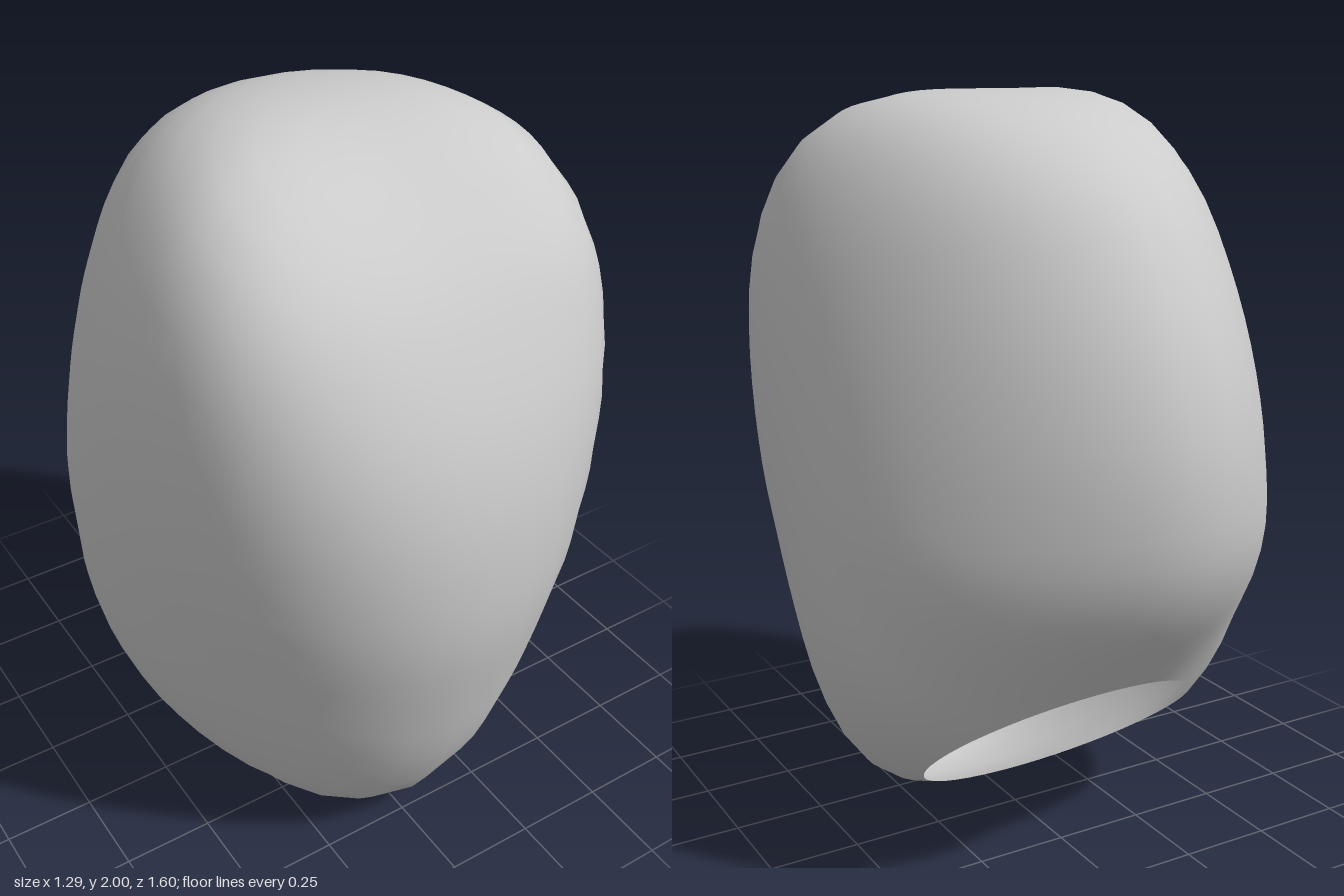
import * as THREE from 'three';

const CY = 1.05, HALF_W = 0.645, SIDE_LEAN = 0.38;

// Side outline as (z, y) pairs, running from the crown over the front, chin, neck and back
const outline = [
  [0, 2], [0.13, 1.995], [0.3, 1.94], [0.43, 1.86], [0.56, 1.74], [0.65, 1.6], [0.73, 1.43],
  [0.78, 1.24], [0.797, 1.06], [0.79, 0.87], [0.74, 0.62], [0.68, 0.4], [0.59, 0.21], [0.49, 0.07],
  [0.39, 0.01], [0.28, 0], [0.13, 0.04], [0.03, 0.09], [-0.26, 0.27], [-0.5, 0.54],
  [-0.6, 0.65], [-0.7, 0.77], [-0.77, 0.91], [-0.797, 1.08], [-0.79, 1.24], [-0.74, 1.43],
  [-0.65, 1.61], [-0.53, 1.77], [-0.37, 1.89], [-0.2, 1.965],
];

// Outline radius for every angle around the centre
function makeRadiusLookup() {
  const curve = new THREE.CatmullRomCurve3(
    outline.map(([z, y]) => new THREE.Vector3(z, y - CY, 0)), true);
  const polar = curve.getPoints(400).slice(0, 400)
    .map(p => [Math.atan2(p.y, p.x), Math.hypot(p.x, p.y)])
    .sort((a, b) => a[0] - b[0]);
  const first = polar[0], last = polar[polar.length - 1];
  polar.unshift([last[0] - 2 * Math.PI, last[1]]);
  polar.push([first[0] + 2 * Math.PI, first[1]]);
  return angle => {
    let lo = 0, hi = polar.length - 1;
    while (hi - lo > 1) {
      const mid = (lo + hi) >> 1;
      if (polar[mid][0] <= angle) lo = mid; else hi = mid;
    }
    const [a, ra] = polar[lo], [b, rb] = polar[hi];
    return ra + (rb - ra) * (angle - a) / Math.max(b - a, 1e-9);
  };
}

// How much the outline shrinks towards the sides, for each direction
const shrink = (u, a, b) => Math.pow(1 - Math.pow(u, a), b);

function makeSurface() {
  const radiusAt = makeRadiusLookup();
  const inside = p => {
    const u = Math.abs(p.x) / HALF_W;
    if (u >= 1) return false;
    // Towards the sides the outline leans forward at the top and back at the bottom
    const leant = p.z - SIDE_LEAN * u * u * p.y;
    const z = leant / (leant > 0 ? shrink(u, 2.1, 0.44) : shrink(u, 1.7, 0.57));
    const y = p.y / (p.y > 0 ? shrink(u, 4, 0.42) : shrink(u, 2.1, 0.44));
    return Math.hypot(z, y) < radiusAt(Math.atan2(y, z));
  };
  // Distance from the centre to the surface along a direction
  return dir => {
    let lo = 0, hi = 1.6;
    const p = new THREE.Vector3();
    for (let i = 0; i < 30; i++) {
      const mid = (lo + hi) / 2;
      if (inside(p.copy(dir).multiplyScalar(mid))) lo = mid; else hi = mid;
    }
    return lo;
  };
}

function headGeometry(around = 48, rings = 28) {
  const distance = makeSurface();
  const neck = new THREE.Vector3(0, 0.315 - CY, -0.235);
  const pole = neck.clone().normalize().negate();
  const positions = [], index = [];

  // Rings run from the flat neck opening up to the pole opposite it
  const meridians = [];
  for (let j = 0; j < around; j++) {
    const f = j / around * 2 * Math.PI;
    const rim = neck.clone().add(
      new THREE.Vector3(0.39 * Math.cos(f), 0.225 * Math.sin(f), -0.265 * Math.sin(f)));
    const start = rim.clone().normalize();
    meridians.push({ start, fit: rim.length() / distance(start), angle: start.angleTo(pole) });
  }
  for (let i = 0; i < rings; i++) {
    const t = i / rings;
    const fade = 1 - THREE.MathUtils.smoothstep(t, 0, 0.35);
    for (const { start, fit, angle } of meridians) {
      const dir = start.clone().multiplyScalar(Math.sin((1 - t) * angle))
        .addScaledVector(pole, Math.sin(t * angle)).normalize();
      dir.multiplyScalar(distance(dir) * (1 + (fit - 1) * fade));
      positions.push(dir.x, dir.y + CY, dir.z);
    }
  }
  const tip = pole.clone().multiplyScalar(distance(pole));
  positions.push(tip.x, tip.y + CY, tip.z);

  const tipIndex = rings * around;
  for (let i = 0; i < rings; i++) {
    for (let j = 0; j < around; j++) {
      const k = (j + 1) % around;
      const a = i * around + j, b = i * around + k;
      if (i === rings - 1) index.push(a, b, tipIndex);
      else index.push(a, b, a + around, b, b + around, a + around);
    }
  }
  const geometry = new THREE.BufferGeometry();
  geometry.setAttribute('position', new THREE.Float32BufferAttribute(positions, 3));
  geometry.setIndex(index);
  geometry.computeVertexNormals();
  return geometry;
}

export function createModel() {
  const group = new THREE.Group();
  // Hollow head shell, open at the neck
  const head = new THREE.Mesh(headGeometry(),
    new THREE.MeshStandardMaterial({ color: 0xcccccc, side: THREE.DoubleSide }));
  head.name = 'headShell';
  group.add(head);
  return group;
}
